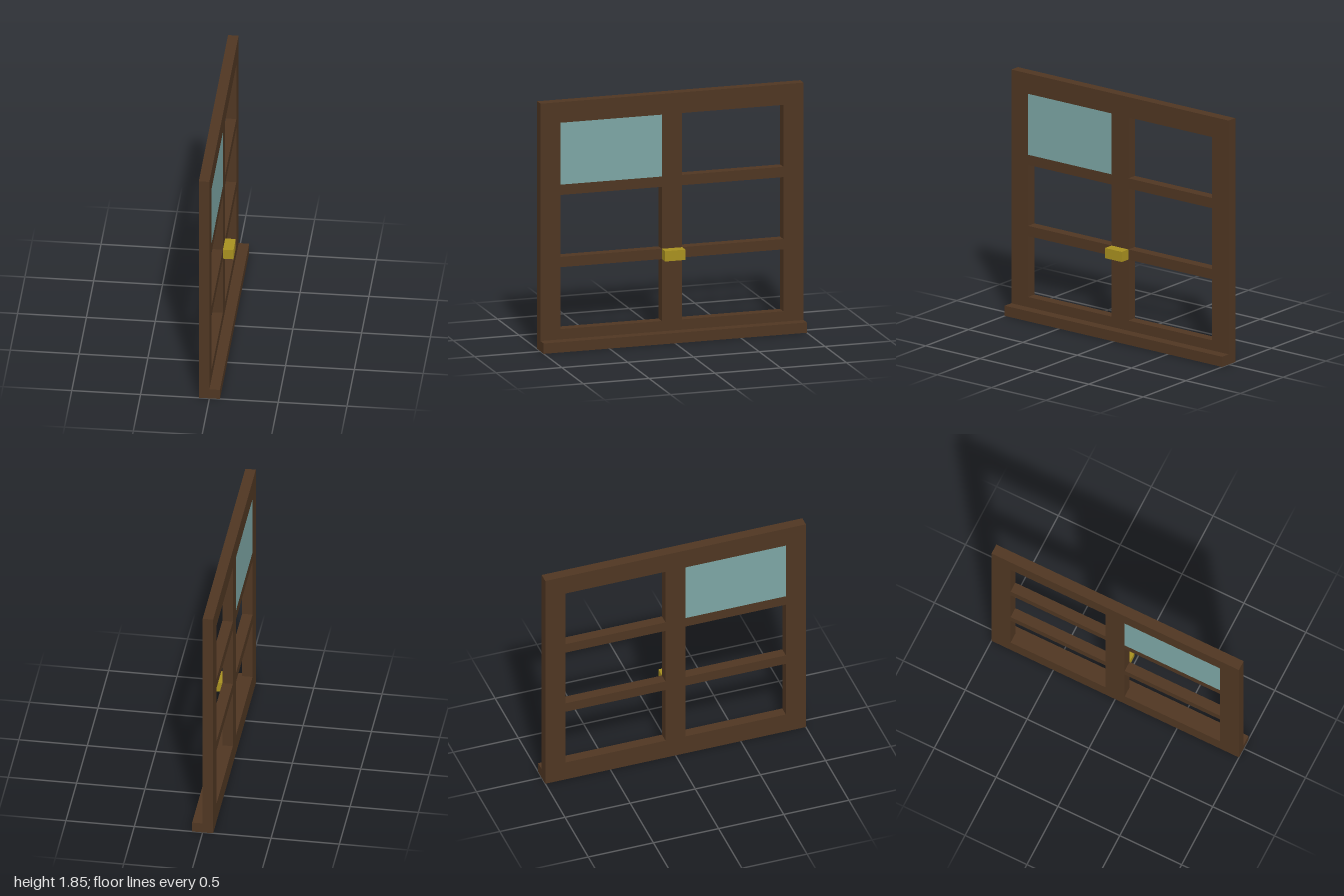
import * as THREE from 'three';

// Everything sits on a grid of 26 units across
const U = 1 / 13;

function rect(path, x0, y0, x1, y1) {
  path.moveTo(x0 * U, y0 * U);
  path.lineTo(x1 * U, y0 * U);
  path.lineTo(x1 * U, y1 * U);
  path.lineTo(x0 * U, y1 * U);
  path.closePath();
  return path;
}

// Box from grid limits
function block(name, material, [x0, x1], [y0, y1], [z0, z1]) {
  const geometry = new THREE.BoxGeometry((x1 - x0) * U, (y1 - y0) * U, (z1 - z0) * U);
  const mesh = new THREE.Mesh(geometry, material);
  mesh.position.set((x0 + x1) * U / 2, (y0 + y1) * U / 2, (z0 + z1) * U / 2);
  mesh.name = name;
  return mesh;
}

export function createModel() {
  const model = new THREE.Group();
  model.name = 'window';
  const wood = new THREE.MeshStandardMaterial({ color: 0x4f3622 });
  const glass = new THREE.MeshStandardMaterial({ color: 0x7ca6a4 });
  const brass = new THREE.MeshStandardMaterial({ color: 0xa89020 });

  // Frame with two columns of three openings
  const outline = rect(new THREE.Shape(), -13, 0, 13, 24);
  for (const left of [-11, 1]) {
    for (const bottom of [2, 9, 16]) {
      outline.holes.push(rect(new THREE.Path(), left, bottom, left + 10, bottom + 6));
    }
  }
  const frameGeometry = new THREE.ExtrudeGeometry(outline, { depth: U, bevelEnabled: false });
  frameGeometry.rotateY(Math.PI / 2).translate(-U, 0, 0);
  const frame = new THREE.Mesh(frameGeometry, wood);
  frame.name = 'frame';
  model.add(frame);

  // Sill, the single filled pane and the handle
  model.add(block('sill', wood, [0, 1], [0, 1], [-13, 13]));
  model.add(block('pane', glass, [-1, 0], [16, 22], [1, 11]));
  model.add(block('handle', brass, [0, 1], [8, 9], [-1, 1]));
  return model;
}
